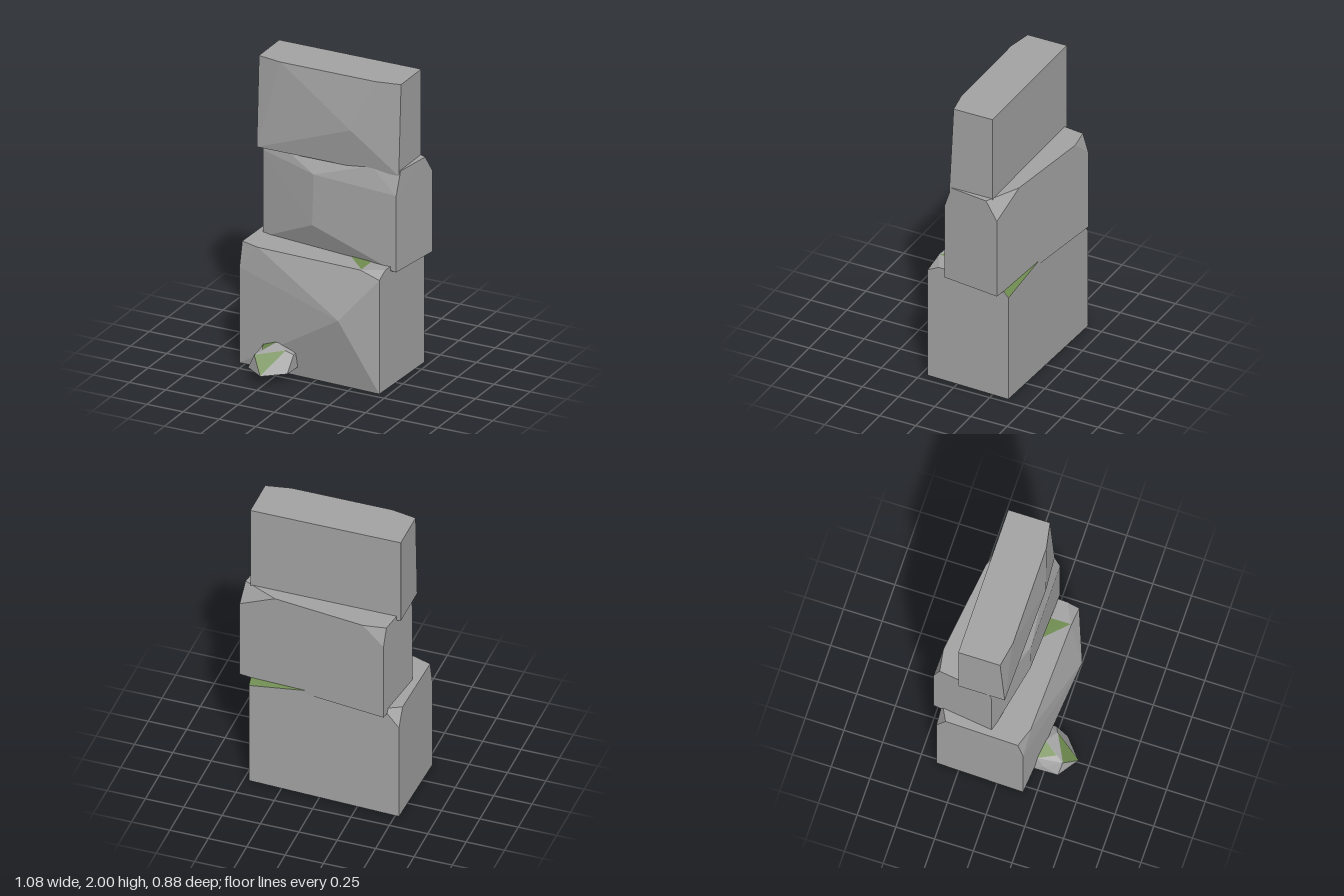
import * as THREE from 'three';
import { ConvexGeometry } from 'three/addons/geometries/ConvexGeometry.js';

const stone = new THREE.MeshStandardMaterial({ color: 0xa3a3a3 });
stone.name = 'stone grey';
const moss = new THREE.MeshStandardMaterial({ color: 0x708c50, side: THREE.DoubleSide });
moss.name = 'moss green';

const toVectors = (points) => points.map((p) => new THREE.Vector3(...p));

// Faceted stone wrapped around its corner points
function chiselled(name, points) {
  const mesh = new THREE.Mesh(new ConvexGeometry(toVectors(points)), stone);
  mesh.name = name;
  return mesh;
}

// Thin moss triangle lifted off a stone facet (corners anticlockwise from outside)
function mossPatch(name, points) {
  const [a, b, c] = toVectors(points);
  const normal = new THREE.Triangle(a, b, c).getNormal(new THREE.Vector3());
  const geometry = new THREE.BufferGeometry().setFromPoints(
    [a, b, c].map((v) => v.addScaledVector(normal, 0.003)));
  geometry.computeVertexNormals();
  const mesh = new THREE.Mesh(geometry, moss);
  mesh.name = name;
  return mesh;
}

export function createModel() {
  const model = new THREE.Group();
  model.name = 'stackedStonePillar';

  // Bottom block: bulging front, clipped upper corners
  model.add(chiselled('bottomBlock', [
    [-0.54, 0, 0.17], [0.445, 0, 0.208], [0.465, 0, -0.36], [-0.525, 0, -0.395],
    [-0.54, 0.64, 0.17], [-0.538, 0.8, 0.135], [-0.41, 0.8, 0.178],
    [0.31, 0.8, 0.2], [0.447, 0.8, 0.13], [0.445, 0.76, 0.208],
    [0.21, 0.48, 0.305],
    [0.465, 0.73, -0.36], [0.463, 0.8, -0.3], [0.06, 0.8, -0.374],
    [-0.525, 0.68, -0.395], [-0.527, 0.8, -0.335], [-0.42, 0.8, -0.391],
  ]));
  model.add(mossPatch('backCornerMoss',
    [[0.465, 0.73, -0.36], [0.06, 0.8, -0.374], [0.463, 0.8, -0.3]]));
  model.add(mossPatch('ledgeMoss',
    [[0.315, 0.8, 0.195], [0.315, 0.8, 0], [0.12, 0.8, 0]]));

  // Middle block: turned a little on the stack
  model.add(chiselled('middleBlock', [
    [-0.49, 0.77, -0.05], [0.49, 0.77, 0.07], [0.54, 0.77, -0.32], [-0.44, 0.77, -0.44],
    [-0.49, 1.35, -0.05], [-0.488, 1.43, -0.075], [-0.4, 1.43, -0.047],
    [0.3, 1.43, 0.035], [0.495, 1.43, 0.02], [0.49, 1.28, 0.07],
    [-0.08, 1.31, 0.07], [-0.09, 0.97, 0.07],
    [0.54, 1.31, -0.32], [0.53, 1.43, -0.24], [0.3, 1.43, -0.349],
    [-0.44, 1.31, -0.44], [-0.445, 1.43, -0.4], [-0.3, 1.43, -0.423],
  ]));

  // Top block
  model.add(chiselled('topBlock', [
    [-0.49, 1.4, 0.035], [0.49, 1.4, 0.035], [0.49, 1.4, -0.265], [-0.49, 1.4, -0.265],
    [-0.49, 2, 0.005], [-0.33, 2, 0.035], [0.33, 2, 0.035], [0.49, 2, 0.005],
    [0.49, 2, -0.265], [-0.49, 2, -0.265],
    [0.18, 1.66, 0.08],
  ]));

  // Small mossy rock set into the front
  const rock = new THREE.Group();
  rock.name = 'mossyRock';
  const nose = [-0.26, 0.065, 0.435], left = [-0.34, 0.165, 0.36], right = [-0.17, 0.192, 0.27];
  rock.add(chiselled('rockBody', [
    nose, left, right,
    [-0.39, 0.065, 0.345], [-0.395, 0.065, 0.16], [-0.13, 0.065, 0.325], [-0.12, 0.065, 0.16],
    [-0.385, 0.12, 0.25], [-0.36, 0.168, 0.2], [-0.25, 0.215, 0.22],
    [-0.125, 0.165, 0.25], [-0.125, 0.165, 0.16], [-0.25, 0.21, 0.16],
  ]));
  rock.add(mossPatch('rockFrontMoss', [nose, right, left]));
  rock.add(mossPatch('rockTopMoss',
    [[-0.31, 0.181, 0.31], [-0.25, 0.215, 0.22], [-0.36, 0.168, 0.2]]));
  model.add(rock);

  return model;
}
